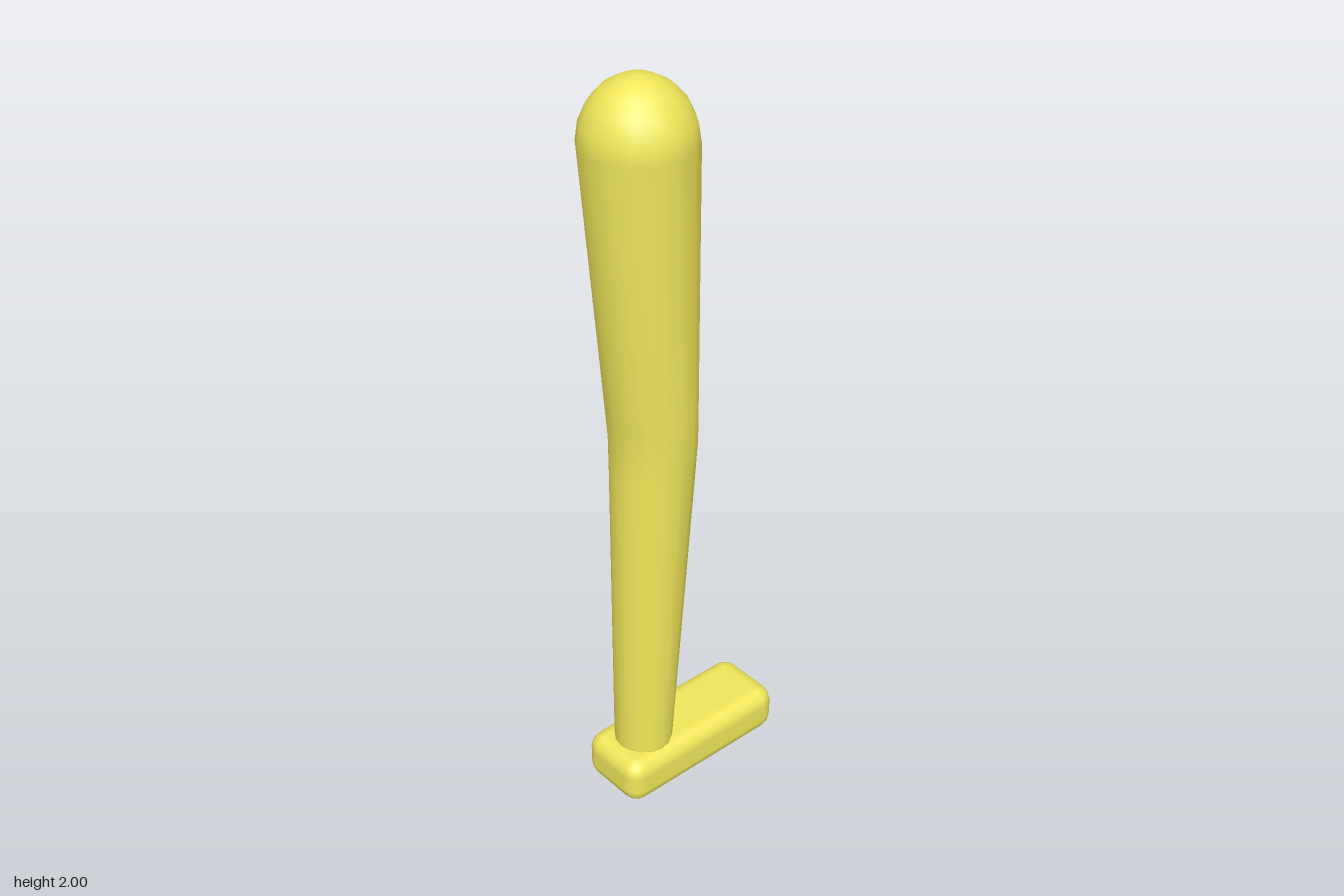
import * as THREE from 'three';
import { mergeVertices } from 'three/addons/utils/BufferGeometryUtils.js';
import { RoundedBoxGeometry } from 'three/addons/geometries/RoundedBoxGeometry.js';

const material = new THREE.MeshStandardMaterial({ color: 0xf0e65a });

// Height and x offset of the leg's centre line, bent forward at the knee
const centreLine = [[0.08, -0.135], [0.14, -0.132], [0.98, -0.092], [1.06, -0.089], [1.14, -0.092], [1.84, -0.122], [2, -0.122]];

function centreAt(y) {
  for (let i = 1; i < centreLine.length; i++) {
    const [y0, x0] = centreLine[i - 1];
    const [y1, x1] = centreLine[i];
    if (y <= y1) return THREE.MathUtils.mapLinear(y, y0, y1, x0, x1);
  }
  return centreLine[centreLine.length - 1][1];
}

// Tapered round limb with a domed top, sheared along the centre line
function legGeometry() {
  const profile = [[0, 0.08], [0.075, 0.08], [0.077, 0.14], [0.106, 0.98], [0.109, 1.06], [0.112, 1.14]];
  const radius = 0.138, steps = 5;
  for (let i = 0; i <= steps; i++) {
    const a = (i / steps) * Math.PI / 2;
    profile.push([i === steps ? 0 : radius * Math.cos(a), 1.845 + 0.155 * Math.sin(a)]);
  }
  const lathe = new THREE.LatheGeometry(profile.map(([r, y]) => new THREE.Vector2(r, y)), 16);
  lathe.deleteAttribute('uv');
  lathe.deleteAttribute('normal');
  const geometry = mergeVertices(lathe, 1e-4);
  const position = geometry.attributes.position;
  for (let i = 0; i < position.count; i++) {
    position.setX(i, position.getX(i) + centreAt(position.getY(i)));
  }
  geometry.computeVertexNormals();
  return geometry;
}

export function createModel() {
  const model = new THREE.Group();
  model.name = 'legWithFoot';

  const leg = new THREE.Mesh(legGeometry(), material);
  leg.name = 'leg';

  // Long rounded foot pointing to +x
  const foot = new THREE.Mesh(new RoundedBoxGeometry(0.51, 0.135, 0.206, 2, 0.045), material);
  foot.name = 'foot';
  foot.position.set(0.004, 0.0675, 0);

  model.add(leg, foot);
  return model;
}
